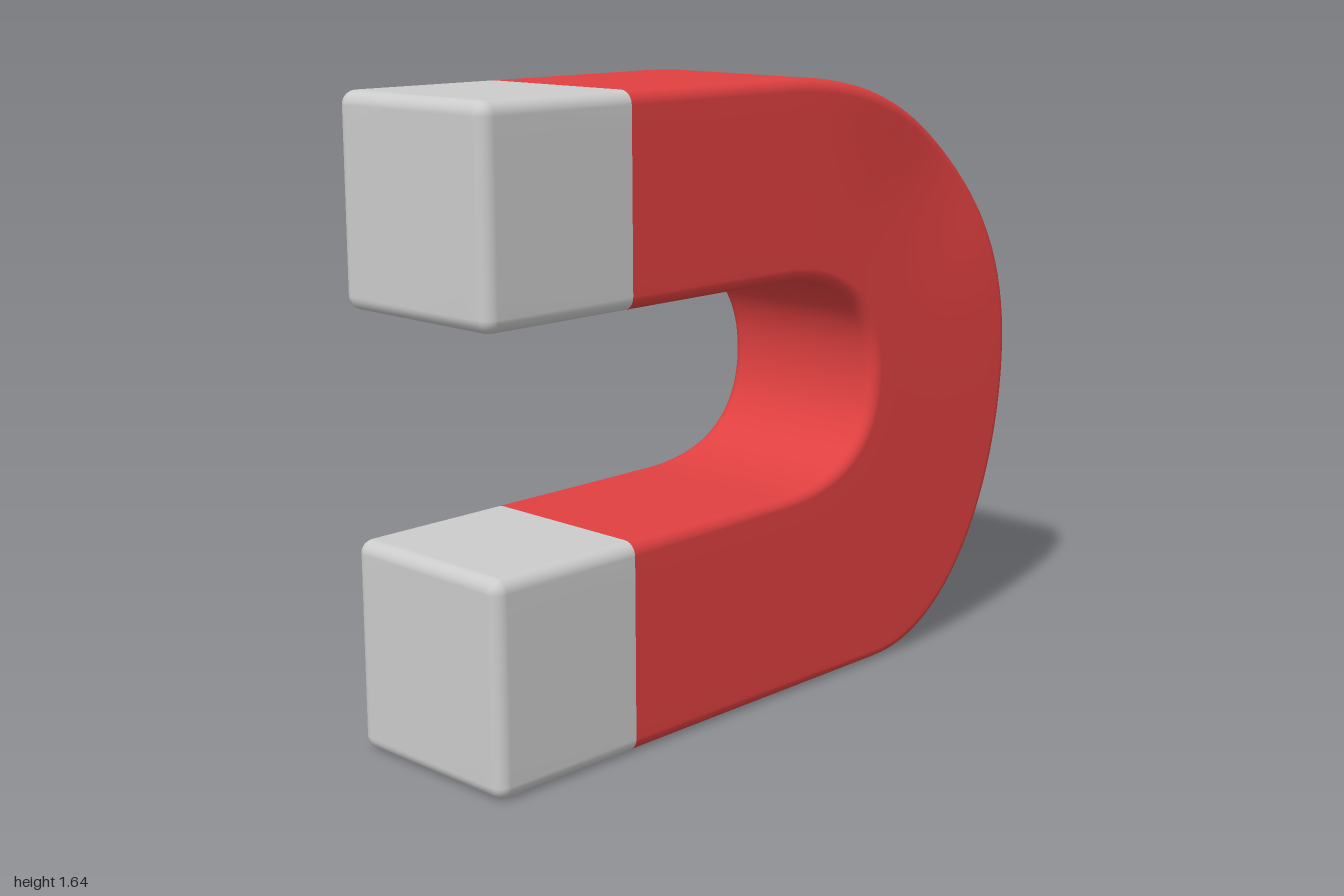
import * as THREE from 'three';

const R = 0.035;          // edge rounding
const CX = 0.0125;        // middle of the thickness
const HALF = 0.2625;      // half thickness
const SEAM = 0.54;        // where the red paint ends

// Gentle sideways bulge at the upper bend
const bulge = (y, z) => -0.032 * Math.exp(-((y - 1.42) ** 2 + (z + 0.72) ** 2) / 0.1);

// Rounded rectangle spanning an inner and an outer profile point (x = z, y = y)
function ring({ inner, outer, inset = 0, collapse = false }) {
  const len = inner.distanceTo(outer);
  const w = collapse ? 0 : HALF - inset;
  const h = collapse ? 0 : len / 2 - inset;
  const r = collapse ? 0 : R - inset;
  const pts = [];
  const add = (x, u) => {
    const p = inner.clone().lerp(outer, 0.5 + u / len);
    pts.push([CX + x + bulge(p.y, p.x), p.y, p.x]);
  };
  const corners = [[1, 1], [-1, 1], [-1, -1], [1, -1]];
  corners.forEach(([sx, sy], q) => {
    for (let i = 0; i <= 6; i++) {
      const a = (q + i / 6) * Math.PI / 2;
      add(sx * (w - r) + r * Math.cos(a), sy * (h - r) + r * Math.sin(a));
    }
    // extra points down the broad faces so they can follow the bulge
    if (q % 2 === 1) {
      for (let i = 1; i < 8; i++) add(sx * w, sy * (h - r) * (1 - i / 4));
    }
  });
  return pts;
}

// Skin a run of sections
function loft(name, stations, material) {
  const rings = stations.map(ring);
  const n = rings[0].length;
  const index = [];
  for (let i = 0; i < rings.length - 1; i++) {
    for (let j = 0; j < n; j++) {
      const k = (j + 1) % n;
      const a = i * n + j, b = i * n + k, c = b + n, d = a + n;
      index.push(a, d, b, b, d, c);
    }
  }
  const geometry = new THREE.BufferGeometry();
  geometry.setAttribute('position', new THREE.Float32BufferAttribute(rings.flat(2), 3));
  geometry.setIndex(index);
  geometry.computeVertexNormals();
  const mesh = new THREE.Mesh(geometry, material);
  mesh.name = name;
  return mesh;
}

// Sections from a closed, rounded end face back to the paint seam
function tipStations(innerY, outerY, end) {
  const at = (z, inset, collapse) => ({
    inner: new THREE.Vector2(z, innerY), outer: new THREE.Vector2(z, outerY), inset, collapse,
  });
  const list = [at(end, R, true)];
  for (let i = 0; i <= 6; i++) {
    const a = i / 6 * Math.PI / 2;
    list.push(at(end - R * (1 - Math.sin(a)), R * (1 - Math.sin(Math.acos(1 - i / 6 * 1))), false));
    list[list.length - 1] = at(end - R * (1 - Math.cos(a)), R * (1 - Math.sin(a)), false);
  }
  list.splice(1, 7, ...list.slice(1, 8));
  list.push(at(SEAM, 0, false));
  return list;
}

export function createModel() {
  const group = new THREE.Group();
  group.name = 'horseshoeMagnet';
  const red = new THREE.MeshStandardMaterial({ color: 0xe04040 });
  const grey = new THREE.MeshStandardMaterial({ color: 0xcccccc });

  // Profile curves in (z, y), upper half then lower half
  const V = (z, y) => new THREE.Vector2(z, y);
  const bez = (...p) => new THREE.CubicBezierCurve(...p.map(([z, y]) => V(z, y)));
  const outer = [
    bez([0, 1.645], [-0.62, 1.645], [-1, 1.3], [-1, 0.82]),
    bez([-1, 0.82], [-1, 0.45], [-0.8, 0], [-0.42, 0]),
  ];
  const inner = [
    bez([0, 1.12], [-0.27, 1.12], [-0.38, 1], [-0.38, 0.83]),
    bez([-0.38, 0.83], [-0.38, 0.66], [-0.27, 0.545], [0, 0.545]),
  ];

  // Red body: straight arm, bend, straight arm
  const body = [];
  for (let i = 0; i < 4; i++) {
    const z = SEAM * (1 - i / 4);
    body.push({ inner: V(z, 1.12), outer: V(z, 1.645) });
  }
  for (let i = 0; i <= 64; i++) {
    const half = i < 32 ? 0 : 1;
    const t = i / 32 - half;
    body.push({ inner: inner[half].getPoint(t), outer: outer[half].getPoint(t) });
  }
  for (let i = 1; i <= 6; i++) {
    const t = i / 6;
    body.push({
      inner: V(SEAM * t, 0.545),
      outer: V(THREE.MathUtils.lerp(-0.42, SEAM, t), 0),
    });
  }
  group.add(loft('redBody', body, red));

  // Bare metal pole tips
  group.add(loft('upperTip', tipStations(1.12, 1.645, 1), grey));
  group.add(loft('lowerTip', tipStations(0.545, 0, 0.99).reverse(), grey));
  return group;
}
